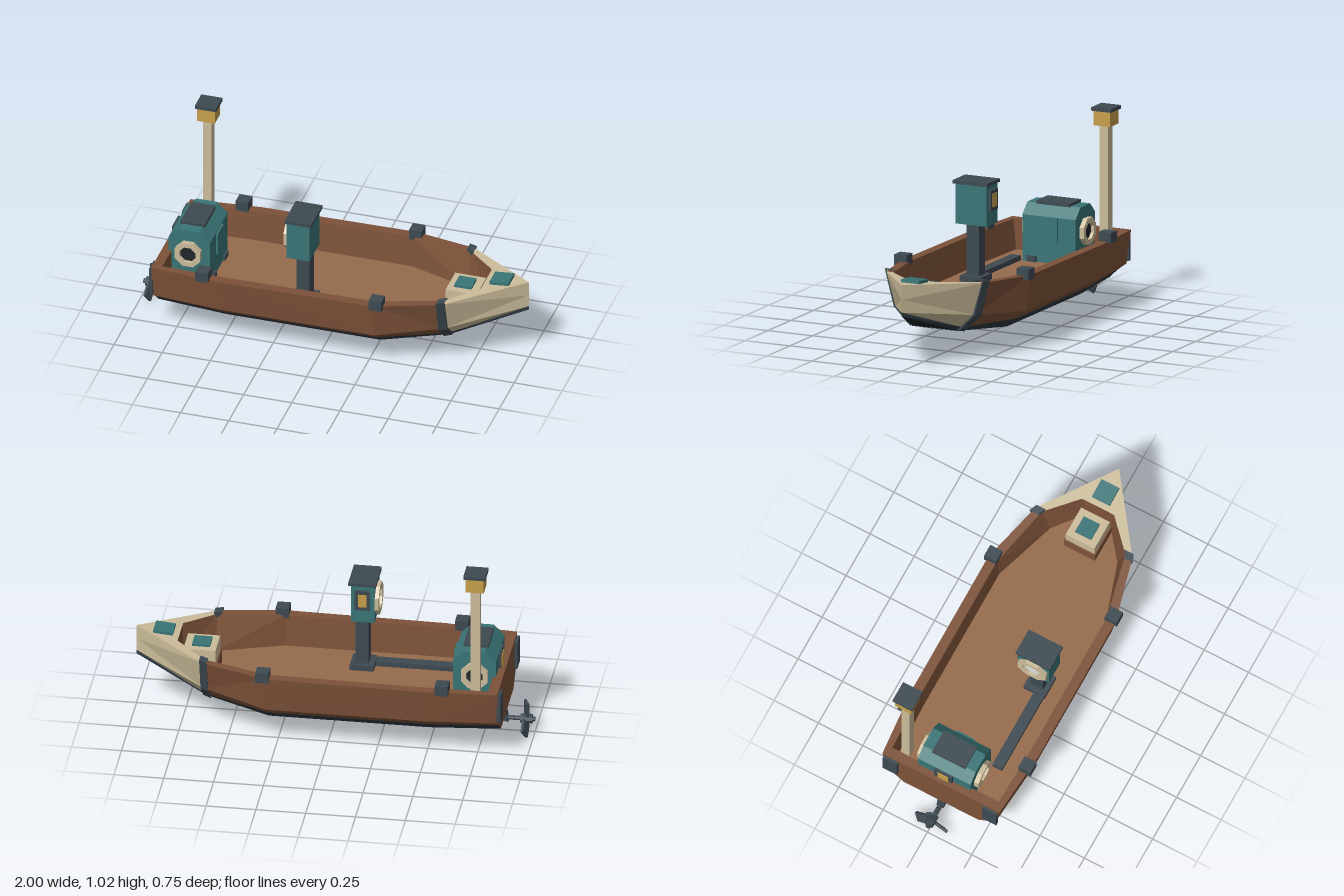
import * as THREE from 'three';

const BROWN = 0x7d5239, FLOOR = 0x966b4b, DARK = 0x3d4951, BLACK = 0x20272b;
const TEAL = 0x397577, CREAM = 0xcbbc9a, GOLD = 0xc79f4b, PALE = 0xdde3df;
const FLOOR_Y = 0.22;

function mat(color, open = false) {
  return new THREE.MeshStandardMaterial({ color, flatShading: true, side: open ? THREE.DoubleSide : THREE.FrontSide });
}

// Hull stations: x, then [y, z] of gunwale, chine, waterline and bottom edge
const stations = [
  [-0.86, [0.375, 0.33], [0.2, 0.305], [0.163, 0.255], [0.12, 0.21]],
  [-0.5, [0.378, 0.36], [0.2, 0.335], [0.155, 0.28], [0.11, 0.23]],
  [0.3, [0.385, 0.36], [0.2, 0.335], [0.155, 0.28], [0.11, 0.23]],
  [0.63, [0.405, 0.275], [0.235, 0.225], [0.165, 0.152], [0.145, 0.13]],
  [1, [0.44, 0], [0.365, 0], [0.3, 0], [0.28, 0]],
];

// Interpolated hull edges at any x
function sectionAt(x) {
  let i = 0;
  while (i < stations.length - 2 && x > stations[i + 1][0]) i++;
  const a = stations[i], b = stations[i + 1], t = (x - a[0]) / (b[0] - a[0]);
  return [1, 2, 3, 4].map(k => [x, a[k][0] + (b[k][0] - a[k][0]) * t, a[k][1] + (b[k][1] - a[k][1]) * t]);
}

// Surface through rows of points of equal length
function loft(rows) {
  const pos = [];
  for (let i = 0; i < rows.length - 1; i++) {
    for (let j = 0; j < rows[i].length - 1; j++) {
      const a = rows[i][j], b = rows[i + 1][j], c = rows[i + 1][j + 1], d = rows[i][j + 1];
      pos.push(...a, ...b, ...c, ...a, ...c, ...d);
    }
  }
  const g = new THREE.BufferGeometry();
  g.setAttribute('position', new THREE.Float32BufferAttribute(pos, 3));
  g.computeVertexNormals();
  return g;
}

const flip = rows => rows.map(r => r.map(([x, y, z]) => [x, y, -z]));
const across = pts => pts.map(([x, y, z]) => [[x, y, z], [x, y, -z]]);

export function createModel() {
  const model = new THREE.Group();

  function add(name, geometry, color, open = false, parent = model) {
    const m = new THREE.Mesh(geometry, mat(color, open));
    m.name = name;
    parent.add(m);
    return m;
  }
  // Box from its min and max on each axis
  function box(name, color, x0, x1, y0, y1, z0, z1, parent = model) {
    const m = add(name, new THREE.BoxGeometry(x1 - x0, y1 - y0, z1 - z0), color, false, parent);
    m.position.set((x0 + x1) / 2, (y0 + y1) / 2, (z0 + z1) / 2);
    return m;
  }
  function bothSides(name, rows, color) {
    add(name + 'Left', loft(rows), color, true);
    add(name + 'Right', loft(flip(rows)), color, true);
  }
  // Eight-sided ring facing z, centred on its own origin
  function ringGeometry(outer, inner, depth) {
    const ngon = r => Array.from({ length: 8 }, (_, i) => {
      const a = (i + 0.5) * Math.PI / 4;
      return new THREE.Vector2(r * Math.cos(a), r * Math.sin(a));
    });
    const s = new THREE.Shape(ngon(outer));
    s.holes.push(new THREE.Path(ngon(inner)));
    return new THREE.ExtrudeGeometry(s, { depth, bevelEnabled: false }).translate(0, 0, -depth / 2);
  }

  // Hull skin
  const main = [-0.86, -0.5, 0.3, 0.63].map(sectionAt), bow = [0.63, 1].map(sectionAt);
  const all = [-0.86, -0.5, 0.3, 0.63, 1].map(sectionAt);
  bothSides('hullSide', main.map(s => s.slice(0, 3)), BROWN);
  bothSides('bowSide', bow.map(s => s.slice(0, 3)), CREAM);
  bothSides('waterlineStrip', all.map(s => s.slice(2)), DARK - 0x101010);
  add('hullBottom', loft(across(all.map(s => s[3]))), BLACK, true);
  add('transom', loft(across(main[0])), BROWN, true);

  // Gunwale, cockpit walls and floor
  const inner = [[-0.81, 0.3, 0.285], [-0.5, 0.31, 0.297], [0.3, 0.31, 0.297], [0.63, 0.235, 0.19], [0.78, 0.09, 0.07]];
  const rim = inner.map(([x, z]) => [x, sectionAt(x)[0][1], z]);
  const sole = inner.map(([x, , z]) => [x, FLOOR_Y, z]);
  const gunwale = rim.map((p, i) => [p, sectionAt(inner[i][0])[0]]);
  gunwale.unshift([[-0.86, 0.375, 0.3], sectionAt(-0.86)[0]]);
  bothSides('gunwale', gunwale.slice(0, 5), BROWN);
  bothSides('foredeckEdge', gunwale.slice(4), CREAM);
  bothSides('cockpitWall', rim.map((p, i) => [p, sole[i]]), BROWN);
  add('transomCap', loft(across([[-0.86, 0.375, 0.3], rim[0]])), BROWN, true);
  add('aftWall', loft(across([rim[0], sole[0]])), BROWN, true);
  add('foreWall', loft(across([rim[4], sole[4]])), BROWN, true);
  add('floor', loft(across(sole)), FLOOR, true);
  add('foredeck', loft(across([sectionAt(0.78)[0], sectionAt(1)[0]])), CREAM, true);

  // Dark band round the hull where the bow begins
  const band = [0.605, 0.645].map(x => {
    const s = sectionAt(x).map(([, y, z], i) => [x, y + (i === 0 ? 0.012 : -0.003), z + 0.01]);
    return [[x, s[0][1] - 0.03, s[0][2] - 0.05], [x, s[0][1], s[0][2] - 0.05], ...s, [x, s[3][1] - 0.002, 0]];
  });
  bothSides('bowBand', band, DARK);
  for (const [i, r] of band.entries()) {
    const root = sectionAt(r[0][0]);
    bothSides('bandEdge' + i, [r.slice(2, 6), root], DARK);
  }

  // Cleats and transom corner plates
  for (const s of [-1, 1]) {
    for (const x of [-0.585, 0.315]) {
      const cleat = box('cleat', DARK, x - 0.033, x + 0.033, 0.37, 0.424, -0.034, 0.034);
      cleat.position.z = s * 0.34;
    }
    const plate = box('cornerPlate', DARK, -0.875, -0.855, 0.215, 0.36, -0.04, 0.04);
    plate.position.z = s * 0.28;
  }

  // Foredeck hatch and locker
  const hatch = box('foredeckHatch', TEAL, 0.81, 0.91, 0.422, 0.442, -0.05, 0.05);
  hatch.rotation.z = 0.095;
  box('lockerBase', BROWN, 0.585, 0.76, FLOOR_Y, 0.295, -0.088, 0.088);
  box('lockerTop', CREAM, 0.592, 0.753, 0.295, 0.37, -0.081, 0.081);
  box('lockerLid', TEAL, 0.625, 0.715, 0.37, 0.382, -0.045, 0.045);

  // Engine housing with chamfered top
  const engine = new THREE.Group();
  engine.name = 'engine';
  model.add(engine);
  const profile = new THREE.Shape([[-0.825, FLOOR_Y], [-0.61, FLOOR_Y], [-0.61, 0.455], [-0.665, 0.508], [-0.77, 0.508], [-0.825, 0.455]]
    .map(p => new THREE.Vector2(...p)));
  add('engineHousing', new THREE.ExtrudeGeometry(profile, { depth: 0.296, bevelEnabled: false }).translate(0, 0, -0.148), TEAL, false, engine);
  box('engineTopPlate', DARK, -0.78, -0.655, 0.505, 0.522, -0.093, 0.093, engine);
  box('engineFrontPanel', TEAL, -0.612, -0.6, 0.33, 0.45, -0.05, 0.05, engine);
  box('engineRearFrame', DARK, -0.837, -0.82, 0.36, 0.455, -0.05, 0.05, engine);
  box('engineRearPane', GOLD, -0.841, -0.83, 0.375, 0.44, -0.03, 0.03, engine);
  for (const s of [-1, 1]) {
    const ring = add('portRing', ringGeometry(0.072, 0.045, 0.03), CREAM, false, engine);
    ring.position.set(-0.72, 0.38, s * 0.158);
    const glass = add('portGlass', new THREE.CylinderGeometry(0.05, 0.05, 0.02, 8), BLACK, false, engine);
    glass.rotation.x = Math.PI / 2;
    glass.position.set(-0.72, 0.38, s * 0.146);
    const foot = box('engineFoot', DARK, -0.64, -0.598, FLOOR_Y, 0.25, -0.025, 0.025, engine);
    foot.position.z = s * 0.095;
  }

  // Funnel
  const funnel = new THREE.Group();
  funnel.name = 'funnel';
  model.add(funnel);
  box('funnelPipe', CREAM, -0.764, -0.718, FLOOR_Y, 0.93, -0.275, -0.228, funnel);
  box('funnelHead', GOLD, -0.787, -0.695, 0.927, 1.002, -0.298, -0.206, funnel);
  box('funnelCap', DARK, -0.796, -0.686, 1.002, 1.02, -0.307, -0.197, funnel);

  // Helm column, console and wheel
  const helm = new THREE.Group();
  helm.name = 'helm';
  model.add(helm);
  box('helmBase', DARK, -0.175, -0.055, FLOOR_Y, 0.25, 0.095, 0.215, helm);
  box('helmColumn', DARK, -0.147, -0.08, 0.24, 0.515, 0.12, 0.19, helm);
  box('console', TEAL, -0.183, -0.065, 0.51, 0.715, 0.07, 0.243, helm);
  box('consoleRoof', DARK, -0.192, -0.053, 0.715, 0.732, 0.06, 0.253, helm);
  box('sideFrame', DARK, -0.162, -0.086, 0.585, 0.69, 0.056, 0.072, helm);
  box('sidePane', GOLD, -0.145, -0.103, 0.603, 0.672, 0.053, 0.065, helm);
  const wheel = add('wheelRing', ringGeometry(0.085, 0.056, 0.02), CREAM, false, helm);
  wheel.rotation.y = Math.PI / 2;
  wheel.position.set(-0.193, 0.61, 0.156);
  const face = add('wheelFace', new THREE.CylinderGeometry(0.045, 0.045, 0.01, 8), PALE, false, helm);
  face.rotation.z = Math.PI / 2;
  face.position.set(-0.185, 0.61, 0.156);
  box('controlDuct', DARK, -0.61, -0.17, FLOOR_Y, 0.245, 0.155, 0.21, helm);

  // Skeg under the stern
  const skeg = new THREE.Shape([[-0.868, 0.055], [-0.62, 0.112], [-0.62, 0.125], [-0.855, 0.125]].map(p => new THREE.Vector2(...p)));
  add('skeg', new THREE.ExtrudeGeometry(skeg, { depth: 0.04, bevelEnabled: false }).translate(0, 0, -0.02), DARK);

  // Propeller
  const propeller = new THREE.Group();
  propeller.name = 'propeller';
  propeller.position.set(-0.957, 0.072, 0);
  model.add(propeller);
  const shaft = add('shaft', new THREE.CylinderGeometry(0.012, 0.012, 0.16, 8), DARK, false, propeller);
  shaft.rotation.z = Math.PI / 2;
  shaft.position.x = 0.037;
  const hub = add('hub', new THREE.CylinderGeometry(0.024, 0.024, 0.06, 8), DARK, false, propeller);
  hub.rotation.z = Math.PI / 2;
  for (let i = 0; i < 3; i++) {
    const arm = new THREE.Group();
    arm.name = 'bladeArm';
    arm.rotation.x = i * Math.PI * 2 / 3;
    propeller.add(arm);
    const blade = add('blade', new THREE.BoxGeometry(0.014, 0.075, 0.054), DARK, false, arm);
    blade.position.y = 0.057;
    blade.rotation.y = 0.4;
  }
  return model;
}
